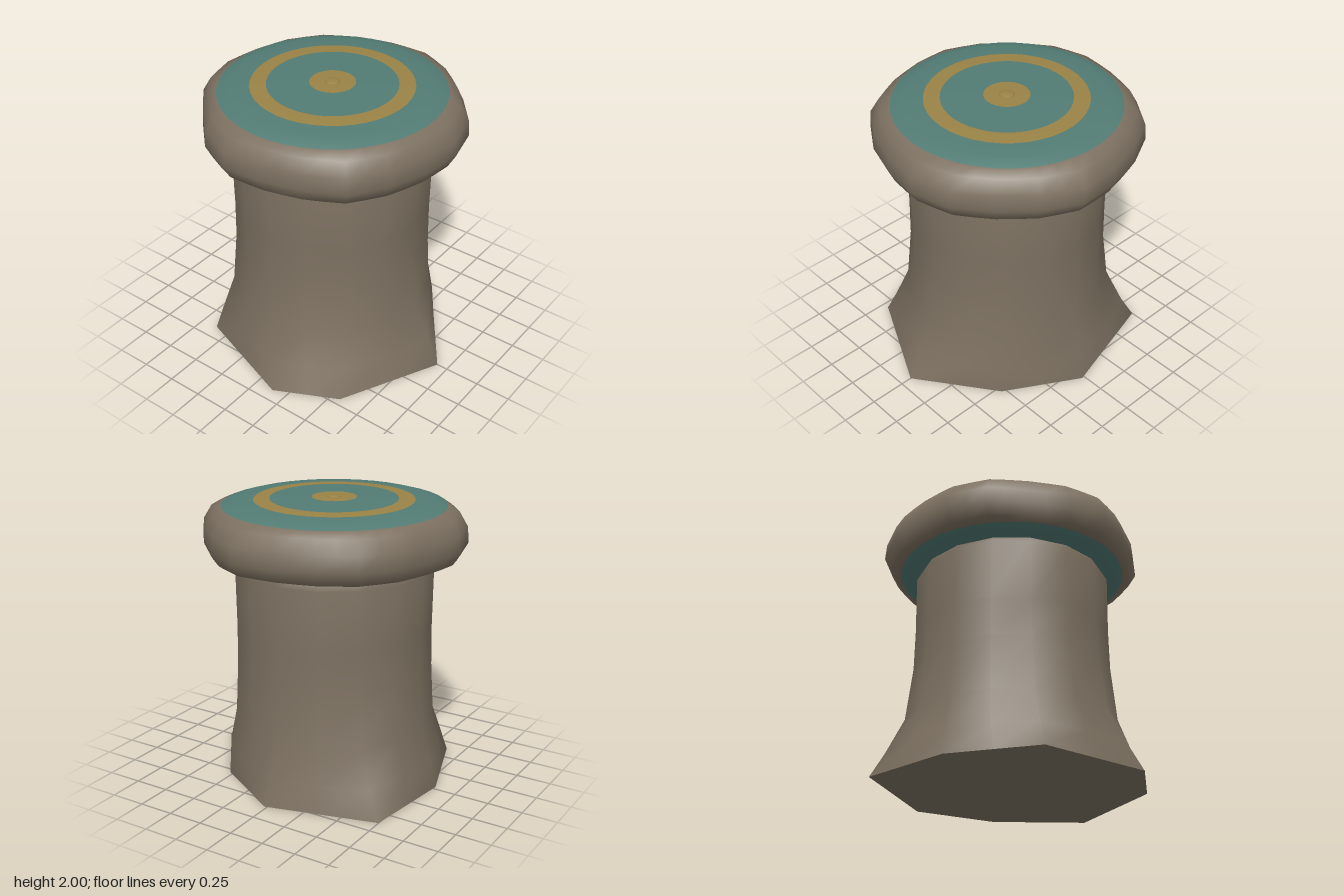
import * as THREE from 'three';

const brown = new THREE.MeshStandardMaterial({ name: 'weathered brown', color: 0x7d7161 });
const teal = new THREE.MeshStandardMaterial({ name: 'muted teal', color: 0x527c74 });
const gold = new THREE.MeshStandardMaterial({ name: 'old gold', color: 0x9a8346 });
const materials = [brown, teal, gold];
const BROWN = 0, TEAL = 1, GOLD = 2;
const CX = -0.02, CZ = -0.005; // shared axis of trunk and cap

// Inserts the midpoint of every edge of a closed outline
function subdivide(points) {
  return points.flatMap(([x, z], i) => {
    const [u, v] = points[(i + 1) % points.length];
    return [[x, z], [(x + u) / 2, (z + v) / 2]];
  });
}

// Blends a circle of radius r with a scaled outline (t = 0 circle, t = 1 outline)
function ring(y, r, outline, t = 0, scale = 1, start = 0) {
  return outline.map(([x, z], i) => {
    const a = start + (i / outline.length) * Math.PI * 2;
    return new THREE.Vector3(
      THREE.MathUtils.lerp(CX + r * Math.cos(a), CX + (x - CX) * scale, t), y,
      THREE.MathUtils.lerp(CZ + r * Math.sin(a), CZ + (z - CZ) * scale, t));
  });
}

// Smooth skin through the rings, with one colour for each band
function loft(name, rings, colours) {
  const n = rings[0].length, index = [];
  const geometry = new THREE.BufferGeometry().setFromPoints(rings.flat());
  for (let j = 0; j < rings.length - 1; j++) {
    geometry.addGroup(index.length, n * 6, colours[j]);
    for (let i = 0; i < n; i++) {
      const a = j * n + i, b = j * n + (i + 1) % n;
      index.push(a, a + n, b, b, a + n, b + n);
    }
  }
  geometry.setIndex(index);
  geometry.computeVertexNormals();
  const mesh = new THREE.Mesh(geometry, materials);
  mesh.name = name;
  return mesh;
}

export function createModel() {
  const model = new THREE.Group();
  model.name = 'roundTopPost';

  // Trunk flaring into an uneven eight-cornered foot
  const foot = subdivide([[0.92, 0], [0.57, 0.7], [0.14, 0.91], [-0.62, 0.64],
    [-0.835, 0.03], [-0.75, -0.63], [0.02, -0.84], [0.53, -0.54]]);
  const trunkRings = [
    ring(0, 0, foot, 1),
    ring(0.18, 0.74, foot, 0.55),
    ring(0.44, 0.7, foot, 0.14),
    ring(0.82, 0.69, foot),
    ring(1.1, 0.685, foot),
    ring(1.52, 0.69, foot),
    ring(1.6, 0.64, foot),
  ];
  model.add(loft('trunk', trunkRings, Array(6).fill(BROWN)));

  // Flat underside of the foot
  const shape = new THREE.Shape(foot.map(([x, z]) => new THREE.Vector2(x, z)));
  const base = new THREE.Mesh(new THREE.ShapeGeometry(shape).rotateX(Math.PI / 2), brown);
  base.name = 'footUnderside';
  model.add(base);

  // Cushion-shaped cap with an uneven rim and painted circles
  const rim = subdivide([[0.89, -0.1], [0.85, 0.17], [0.76, 0.44], [0.6, 0.68], [0.34, 0.8],
    [0.06, 0.87], [-0.21, 0.89], [-0.47, 0.77], [-0.69, 0.55], [-0.86, 0.36],
    [-0.93, 0.08], [-0.88, -0.2], [-0.8, -0.47], [-0.63, -0.7], [-0.38, -0.83],
    [-0.11, -0.9], [0.18, -0.92], [0.43, -0.79], [0.64, -0.6], [0.82, -0.38]]);
  const capRing = (y, r, t = 0, s = 1) => ring(y, r, rim, t, s, -0.11);
  const capRings = [
    capRing(1.56, 0.62),
    capRing(1.56, 0.69),
    capRing(1.595, 0.8),
    capRing(1.61, 0.85, 0.7, 0.95),
    capRing(1.7, 0, 1, 1),
    capRing(1.81, 0, 1, 0.99),
    capRing(1.905, 0.85, 0.7, 0.93),
    capRing(1.94, 0.77),
    capRing(1.966, 0.68),
    capRing(1.974, 0.55),
    capRing(1.98, 0.44),
    capRing(1.988, 0.155),
    capRing(1.99, 0.001),
  ];
  model.add(loft('cap', capRings,
    [TEAL, TEAL, BROWN, BROWN, BROWN, BROWN, BROWN, TEAL, TEAL, GOLD, TEAL, GOLD]));

  // Small stud at the centre of the cap
  const stud = new THREE.Mesh(new THREE.SphereGeometry(0.053, 12, 6), gold);
  stud.name = 'centreStud';
  stud.scale.y = 0.25;
  stud.position.set(CX, 1.987, CZ);
  model.add(stud);

  return model;
}
